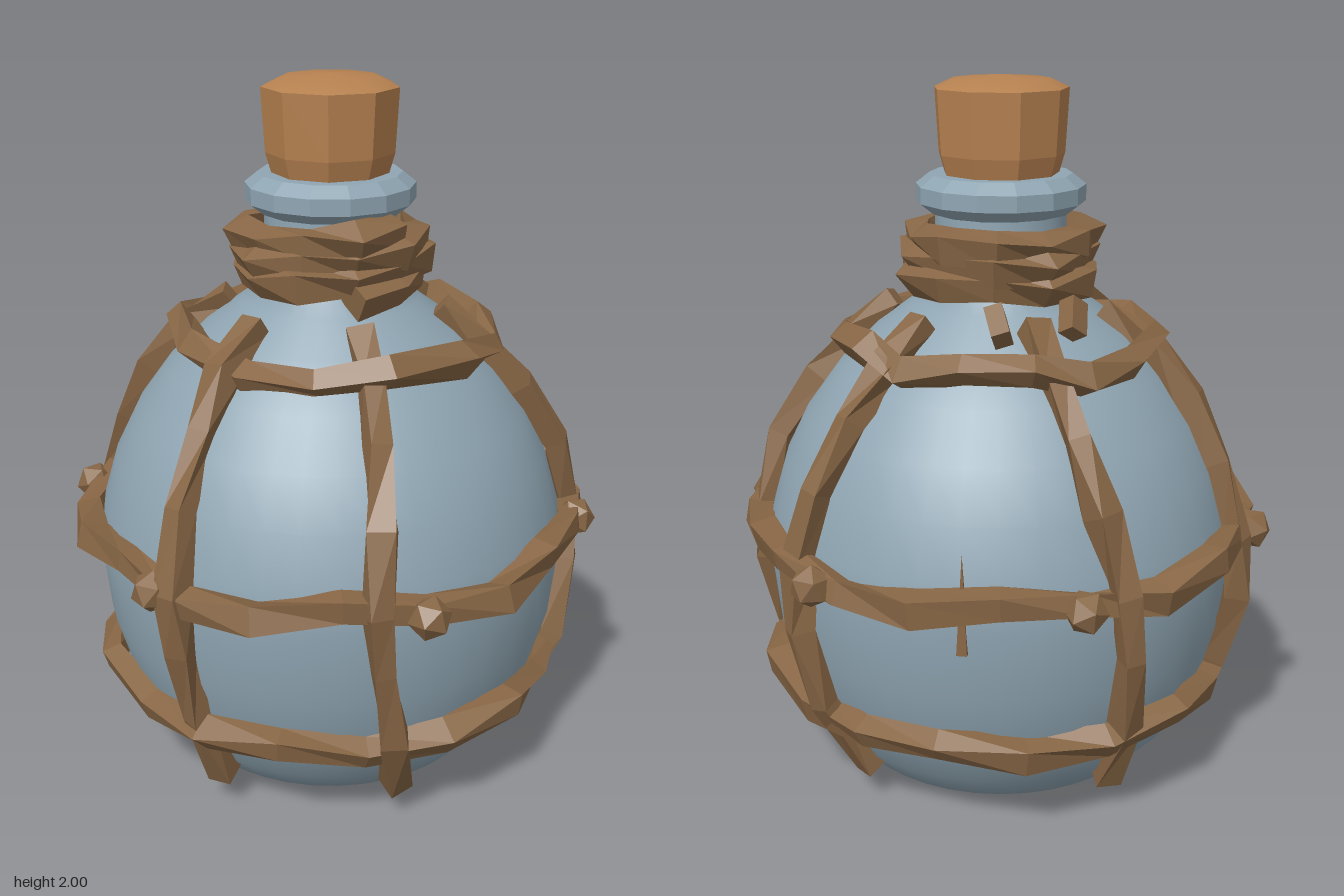
import * as THREE from 'three';

const V = (x, y, z) => new THREE.Vector3(x, y, z);
const glassProfile = [[0, 0], [0.26, 0.005], [0.47, 0.04], [0.56, 0.14], [0.62, 0.27], [0.67, 0.45], [0.69, 0.66],
  [0.675, 0.78], [0.63, 0.93], [0.565, 1.06], [0.47, 1.19], [0.36, 1.3], [0.25, 1.38], [0.2, 1.43], [0.185, 1.52], [0.185, 1.65]];

// radius of the bottle at a height
function radiusAt(y) {
  for (let i = 1; i < glassProfile.length; i++) {
    const [r0, y0] = glassProfile[i - 1], [r1, y1] = glassProfile[i];
    if (y <= y1) return r0 + (r1 - r0) * (y - y0) / (y1 - y0);
  }
  return 0.185;
}

// square rope swept along points, one face always turned away from the bottle
function ropeGeometry(points, closed, half, seed) {
  const n = points.length, pos = [];
  const rings = points.map((p, k) => {
    const a = points[closed ? (k + n - 1) % n : Math.max(k - 1, 0)];
    const b = points[closed ? (k + 1) % n : Math.min(k + 1, n - 1)];
    const T = b.clone().sub(a).normalize();
    const N = V(p.x, (p.y - 0.7) * 0.8, p.z);
    N.addScaledVector(T, -N.dot(T)).normalize();
    N.applyAxisAngle(T, 0.3 * Math.sin(k * 2.3 + seed));
    const B = T.clone().cross(N);
    const h = half * (1 + 0.16 * Math.sin(k * 1.9 + seed * 2));
    return [[1, 1], [-1, 1], [-1, -1], [1, -1]].map(([u, v]) =>
      p.clone().addScaledVector(N, u * h).addScaledVector(B, v * h));
  });
  const quad = (a, b, c, d) => [a, b, c, a, c, d].forEach(p => pos.push(p.x, p.y, p.z));
  for (let k = 0; k < (closed ? n : n - 1); k++) {
    const r = rings[k], s = rings[(k + 1) % n];
    for (let i = 0; i < 4; i++) { const j = (i + 1) % 4; quad(r[i], r[j], s[j], s[i]); }
  }
  if (!closed) {
    const r = rings[0], s = rings[n - 1];
    quad(r[3], r[2], r[1], r[0]);
    quad(s[0], s[1], s[2], s[3]);
  }
  const g = new THREE.BufferGeometry();
  g.setAttribute('position', new THREE.Float32BufferAttribute(pos, 3));
  g.computeVertexNormals();
  return g;
}

export function createModel() {
  const model = new THREE.Group();
  const material = (name, color) => {
    const m = new THREE.MeshStandardMaterial({ color });
    m.name = name;
    return m;
  };
  const glass = material('blue grey glass', 0x8fa5b2);
  const rope = material('brown rope', 0x876645);
  const cork = material('cork', 0xb68150);
  const add = (name, geometry, mat) => {
    const mesh = new THREE.Mesh(geometry, mat);
    mesh.name = name;
    model.add(mesh);
    return mesh;
  };
  const lathe = (pts, sides) => new THREE.LatheGeometry(pts.map(p => new THREE.Vector2(...p)), sides);
  const flat = g => { const f = g.toNonIndexed(); f.computeVertexNormals(); return f; };

  // bottle and lip
  add('bottleBody', lathe(glassProfile, 40), glass);
  add('bottleLip', flat(lathe([[0.18, 1.625], [0.2, 1.63], [0.238, 1.66], [0.238, 1.705], [0.2, 1.735], [0.14, 1.735]], 14)), glass);

  // cork with faceted sides and a softly domed top
  add('corkSide', flat(lathe([[0.16, 1.72], [0.18, 1.79], [0.19, 1.965]], 9)), cork);
  add('corkTop', lathe([[0.19, 1.965], [0.135, 1.99], [0, 2]], 9), cork);

  // horizontal net ropes: upper ring from its plan, lower rings around the body
  const upper = [[0.44, 0], [0.41, 0.18], [0.31, 0.34], [0.13, 0.42], [-0.15, 0.43], [-0.3, 0.32], [-0.38, 0.13],
    [-0.38, -0.1], [-0.3, -0.33], [-0.13, -0.42], [0.06, -0.46], [0.2, -0.42], [0.33, -0.29], [0.41, -0.13]];
  add('upperNetRing', ropeGeometry(upper.map(([x, z], i) => {
    const s = Math.max(1, 0.41 / Math.hypot(x, z));
    return V(x * s, 1.275 + 0.025 * Math.sin(i * 1.7 + 1), z * s);
  }).reverse(), true, 0.033, 1), rope);
  for (const [name, y, n, seed] of [['middleNetRing', 0.74, 20, 2], ['lowerNetRing', 0.3, 18, 4]]) {
    const pts = [];
    for (let i = 0; i < n; i++) {
      const a = i / n * Math.PI * 2, h = y + 0.025 * Math.sin(a * 6 + seed);
      const r = radiusAt(h) + 0.035 + 0.012 * Math.sin(i * 2.1 + seed);
      pts.push(V(Math.cos(a) * r, h, -Math.sin(a) * r));
    }
    add(name, ropeGeometry(pts, true, 0.034, seed), rope);
  }

  // upright net ropes: plan direction at the shoulder, the waist and the foot
  const uprights = [
    [[-0.32, 0.06], [-0.7, 0.21], [-0.57, 0.2]],
    [[-0.13, 0.3], [-0.34, 0.62], [-0.19, 0.54]],
    [[0.22, 0.25], [0.58, 0.46], [0.4, 0.5]],
    [[0.31, -0.06], [0.74, -0.04], [0.57, -0.12]],
    [[0.1, -0.29], [0.11, -0.72], [0.03, -0.57]],
    [[-0.21, -0.25], [-0.4, -0.6], [-0.4, -0.42]]];
  const heights = [1.365, 1.27, 1.13, 0.95, 0.74, 0.56, 0.33, 0.1];
  const angle = ([x, z]) => Math.atan2(z, x);
  const turn = (a, b, t) => a + Math.atan2(Math.sin(b - a), Math.cos(b - a)) * t;
  uprights.forEach(([top, waist, foot], k) => {
    const a = angle(top), b = angle(waist), c = angle(foot);
    const pts = heights.map((y, i) => {
      const t = y > 0.74 ? turn(a, b, (1.365 - y) / 0.625) : turn(b, c, ((0.74 - y) / 0.64) ** 1.4);
      const r = radiusAt(y) + 0.034 + 0.01 * Math.sin(i * 2 + k) + (i === 1 ? 0.01 : 0);
      return V(Math.cos(t) * r, y, Math.sin(t) * r);
    });
    add('uprightNetRope', ropeGeometry(pts, false, 0.033, k), rope);
  });

  // sliver of a rope sunk into the glass
  const sliver = add('sunkenRope', flat(new THREE.ConeGeometry(0.02, 0.28, 4)), rope);
  sliver.position.set(0.475, 0.74, -0.49);

  // knots around the middle ring
  const knots = [[-0.72, 0.15], [-0.24, 0.71], [0.49, 0.54], [0.73, -0.16], [0.24, -0.7], [-0.49, -0.56]];
  knots.forEach(([x, z], i) => {
    const knot = add('knot', new THREE.IcosahedronGeometry(0.06, 0), rope);
    knot.position.set(x, 0.735, z);
    knot.rotation.set(i, i * 1.7, 0.4);
  });

  // rope wound around the neck, sloping down from the front
  const coil = [];
  for (let i = 0; i <= 34; i++) {
    const a = Math.PI / 2 - 0.2 + i / 34 * Math.PI * 2 * 3.1;
    const r = 0.235 + 0.012 * Math.sin(i * 1.9) + 0.01 * i / 34;
    coil.push(V(Math.cos(a) * r, 1.595 - i / 34 * 0.16 + 0.012 * Math.sin(a + 1), Math.sin(a) * r));
  }
  add('neckCoil', ropeGeometry(coil, false, 0.036, 3), rope);

  // loose rope ends below the coil
  for (const [x, z] of [[0, -0.33], [0.21, -0.28]]) {
    const end = add('looseEnd', new THREE.BoxGeometry(0.06, 0.1, 0.05), rope);
    end.position.set(x, 1.385, z);
    end.rotation.set(0.5, x * 3 + 0.3, 0.5);
  }
  return model;
}
